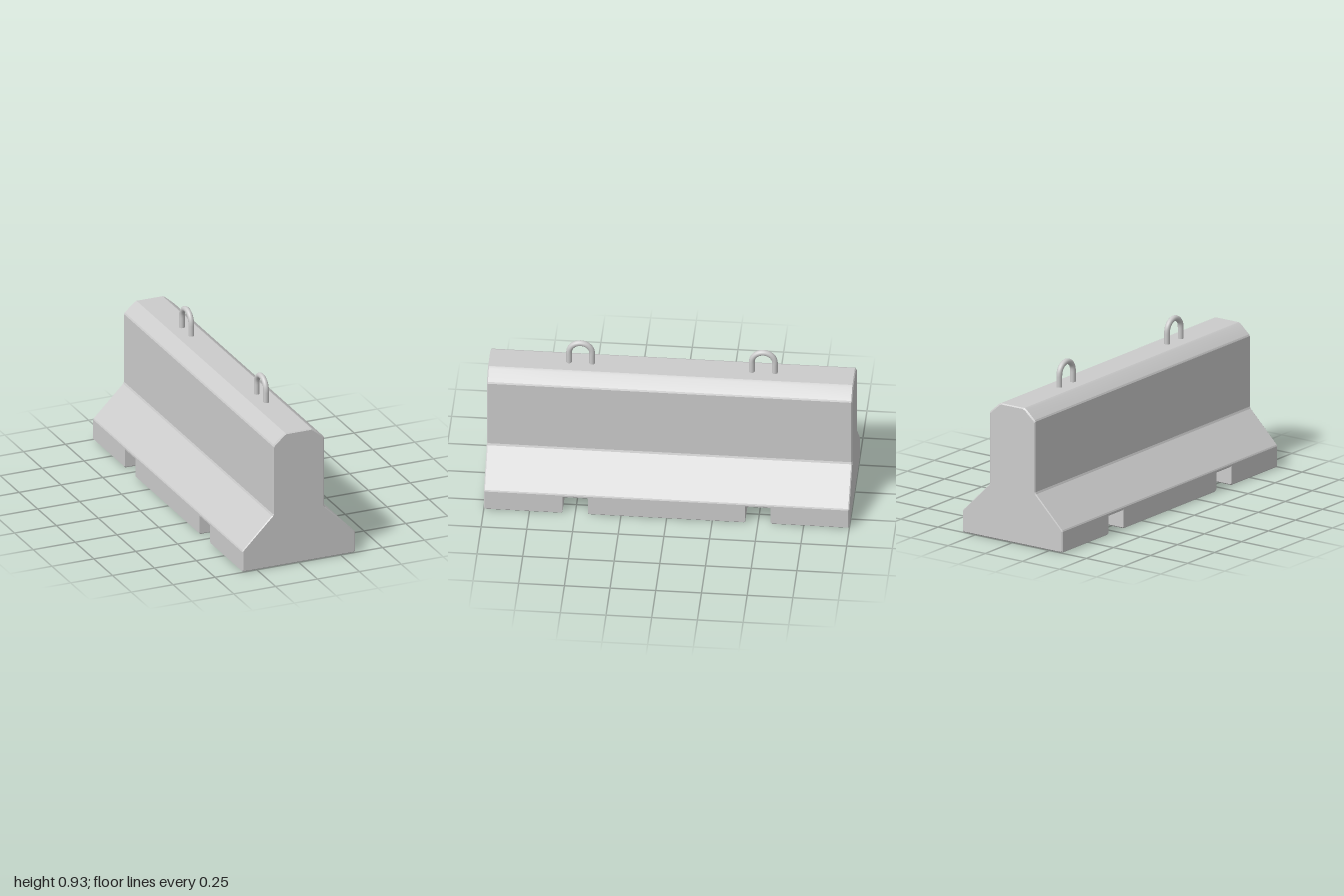
import * as THREE from 'three';
import { toCreasedNormals } from 'three/addons/utils/BufferGeometryUtils.js';

const BEVEL = 0.006;
const NOTCH = 0.105; // height of the forklift slots

// Right half of the cross-section, bottom to top; the left half is mirrored.
const half = [
  [0.337 - BEVEL, 0], [0.337, BEVEL], [0.337, 0.12], [0.333, 0.128],
  [0.158, 0.302], [0.153, 0.313], [0.153, 0.714], [0.148, 0.723],
  [0.092, 0.773], [0.078, 0.78],
];
const profile = [...half, ...half.map(([x, y]) => [-x, y]).reverse()];

// Cross-section at z: lift raises the underside, inset softens the end edges.
function section(z, lift = 0, inset = 0) {
  return profile.map(([x, y]) => {
    let py = y;
    if (y < 0.05) py += lift + inset;
    if (y > 0.7) py -= inset;
    return new THREE.Vector3(x - Math.sign(x) * inset, py, z);
  });
}

function bodyGeometry() {
  const rings = [section(-1, 0, BEVEL), section(-1 + BEVEL)];
  for (const c of [-0.5, 0.5]) {
    const z0 = c - 0.07, z1 = c + 0.07;
    rings.push(
      section(z0 - BEVEL), section(z0, BEVEL), section(z0, NOTCH),
      section(z1, NOTCH), section(z1, BEVEL), section(z1 + BEVEL),
    );
  }
  rings.push(section(1 - BEVEL), section(1, 0, BEVEL));

  const pos = [];
  const tri = (a, b, c) => {
    if (new THREE.Triangle(a, b, c).getArea() < 1e-9) return;
    for (const v of [a, b, c]) pos.push(v.x, v.y, v.z);
  };
  const n = profile.length;
  for (let k = 0; k < rings.length - 1; k++) {
    for (let i = 0; i < n; i++) {
      const j = (i + 1) % n, p = rings[k], q = rings[k + 1];
      tri(p[i], p[j], q[j]);
      tri(p[i], q[j], q[i]);
    }
  }
  // End caps
  const back = rings[0], front = rings[rings.length - 1];
  const outline = front.map((v) => new THREE.Vector2(v.x, v.y));
  for (const [a, b, c] of THREE.ShapeUtils.triangulateShape(outline, [])) {
    tri(front[a], front[b], front[c]);
    tri(back[a], back[c], back[b]);
  }
  const geo = new THREE.BufferGeometry();
  geo.setAttribute('position', new THREE.Float32BufferAttribute(pos, 3));
  return toCreasedNormals(geo, 0.3);
}

// Upside-down U of round bar, legs sunk into the top
function loopGeometry() {
  const r = 0.063, top = 0.846;
  const path = new THREE.CurvePath();
  const arc = [];
  for (let i = 0; i <= 16; i++) {
    const a = Math.PI * (1 - i / 16);
    arc.push(new THREE.Vector3(0, top + r * Math.sin(a), r * Math.cos(a)));
  }
  path.add(new THREE.LineCurve3(new THREE.Vector3(0, 0.75, -r), arc[0]));
  path.add(new THREE.CatmullRomCurve3(arc));
  path.add(new THREE.LineCurve3(arc[16], new THREE.Vector3(0, 0.75, r)));
  return new THREE.TubeGeometry(path, 40, 0.016, 14, false);
}

export function createModel() {
  const group = new THREE.Group();
  group.name = 'concreteBarrier';
  const material = new THREE.MeshStandardMaterial({ color: 0xcccccc });

  const body = new THREE.Mesh(bodyGeometry(), material);
  body.name = 'barrierBody';
  group.add(body);

  // Lifting loops
  const loop = loopGeometry();
  for (const [name, z] of [['frontLiftingLoop', 0.5], ['backLiftingLoop', -0.5]]) {
    const mesh = new THREE.Mesh(loop, material);
    mesh.name = name;
    mesh.position.z = z;
    group.add(mesh);
  }
  return group;
}
